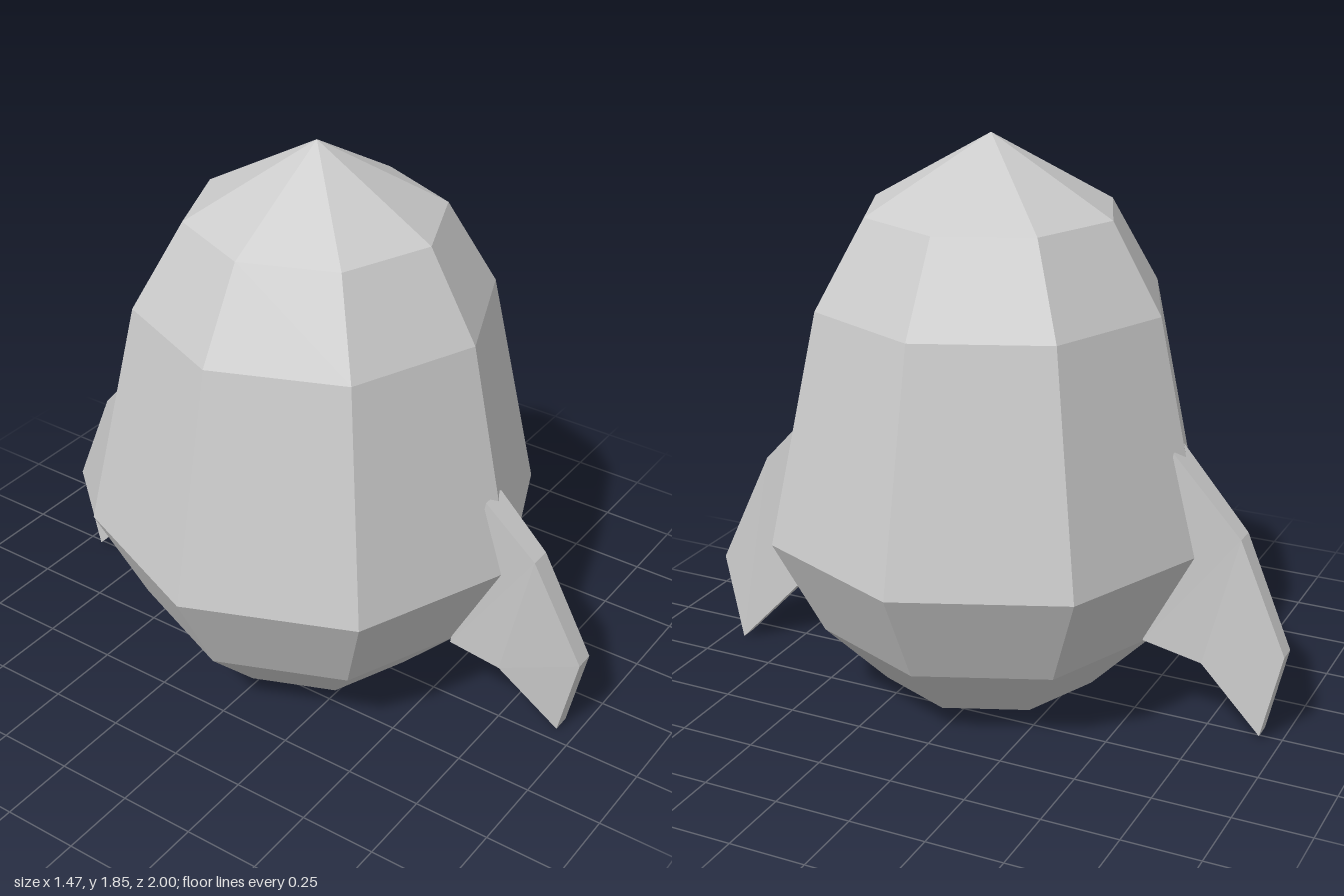
import * as THREE from 'three';

const grey = new THREE.MeshStandardMaterial({ color: 0xcccccc, flatShading: true });

// Joins four-cornered sections, listed from -z to +z, into a closed solid.
// Section: [z, y] of the upper and lower edge, then [left x, right x] of each.
function loft(sections) {
  const rings = sections.map(([[zt, yt], [zb, yb], [tl, tr], [bl, br]]) => [
    [tl, yt, zt], [tr, yt, zt], [br, yb, zb], [bl, yb, zb],
  ]);
  const pos = [];
  const quad = (a, b, c, d) => pos.push(...a, ...b, ...c, ...a, ...c, ...d);
  for (let s = 0; s < rings.length - 1; s++) {
    const a = rings[s], b = rings[s + 1];
    for (let i = 0; i < 4; i++) {
      const j = (i + 1) % 4;
      quad(a[i], b[i], b[j], a[j]);
    }
  }
  const first = rings[0], last = rings[rings.length - 1];
  quad(first[0], first[1], first[2], first[3]);
  quad(last[0], last[3], last[2], last[1]);
  const geo = new THREE.BufferGeometry();
  geo.setAttribute('position', new THREE.Float32BufferAttribute(pos, 3));
  geo.computeVertexNormals();
  return geo;
}

export function createModel() {
  const model = new THREE.Group();
  model.name = 'rocket';
  const add = (name, geometry) => {
    const mesh = new THREE.Mesh(geometry, grey);
    mesh.name = name;
    model.add(mesh);
    return mesh;
  };

  // Eight-sided hull with a pointed nose and flat base
  const profile = [
    [0, 0.055], [0.365, 0.055], [0.57, 0.265], [0.733, 0.585],
    [0.57, 1.335], [0.407, 1.615], [0, 1.85],
  ].map(([r, y]) => new THREE.Vector2(r, y));
  add('hull', new THREE.LatheGeometry(profile, 8)).position.z = 0.02;

  // Front fin, swept down and bent towards +x: root, middle, tip
  add('frontFin', loft([
    [[0.685, 0.845], [0.575, 0.25], [-0.052, 0.037], [-0.037, 0.04]],
    [[0.847, 0.668], [0.746, 0.208], [-0.018, 0.052], [-0.015, 0.053]],
    [[1.0, 0.295], [0.936, 0.0], [0.043, 0.108], [0.052, 0.113]],
  ]));

  // Back fin, nearly straight: tip, middle, root
  add('backFin', loft([
    [[-1.0, 0.305], [-0.933, 0.016], [-0.028, 0.033], [-0.028, 0.035]],
    [[-0.842, 0.668], [-0.73, 0.225], [-0.043, 0.027], [-0.04, 0.03]],
    [[-0.622, 0.925], [-0.537, 0.272], [-0.045, 0.052], [-0.04, 0.045]],
  ]));

  return model;
}
